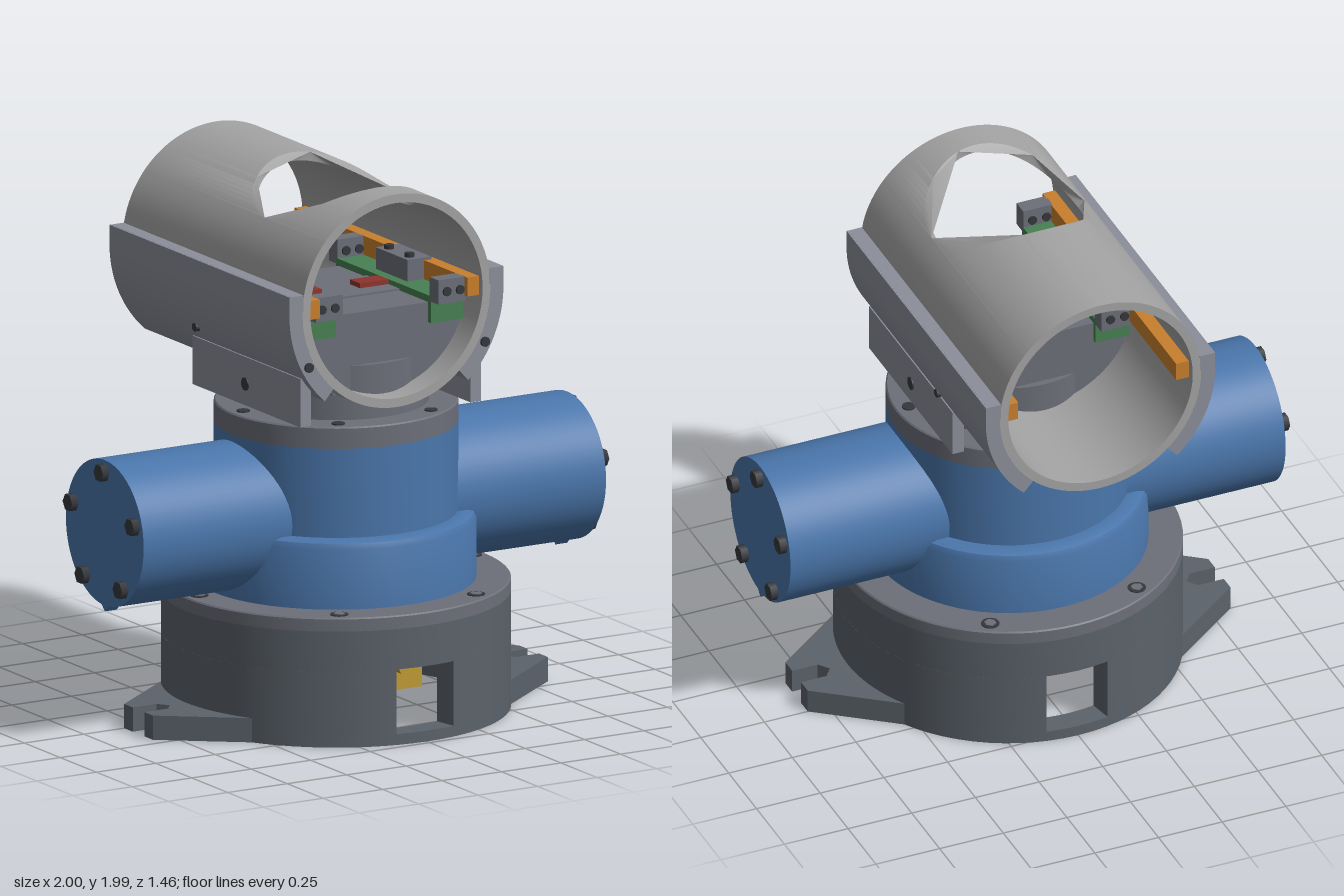
import * as THREE from 'three';
import { toCreasedNormals } from 'three/addons/utils/BufferGeometryUtils.js';

const mat = (color) => new THREE.MeshStandardMaterial({ color, roughness: 0.7, side: THREE.DoubleSide });
const DARK = mat(0x5b626a), PLATE = mat(0x6c6f79), BLUE = mat(0x4a76ab), TUBE = mat(0xa3a3a3), CRADLE = mat(0x8b8f9a),
  BLACK = mat(0x35373b), ORANGE = mat(0xc87f2c), GREEN = mat(0x478052), RED = mat(0x8e342e), GOLD = mat(0xbf9a35);
const RAD = Math.PI / 180;

export function createModel() {
  const model = new THREE.Group();
  // everything is built around the vertical spindle
  const g = new THREE.Group();
  g.name = 'assembly';
  g.position.z = 0.1;
  model.add(g);

  const add = (name, geo, material, x = 0, y = 0, z = 0) => {
    const m = new THREE.Mesh(geo, material);
    m.name = name;
    m.position.set(x, y, z);
    g.add(m);
    return m;
  };
  // box given by its minimum and maximum corners
  const box = (name, material, x0, x1, y0, y1, z0, z1) =>
    add(name, new THREE.BoxGeometry(x1 - x0, y1 - y0, z1 - z0), material, (x0 + x1) / 2, (y0 + y1) / 2, (z0 + z1) / 2);
  const lathe = (name, material, pts) =>
    add(name, toCreasedNormals(new THREE.LatheGeometry(pts.map((p) => new THREE.Vector2(...p)), 72), 0.6), material);
  // rod along an axis; 6 sides make a hex head
  const rod = (name, material, r, len, axis, x, y, z, sides = 24) => {
    const m = add(name, new THREE.CylinderGeometry(r, r, len, sides), material, x, y, z);
    if (axis === 'x') m.rotation.z = Math.PI / 2;
    if (axis === 'z') m.rotation.x = Math.PI / 2;
    return m;
  };
  // part of a ring, extruded along z from 0 to depth
  const sector = (ri, ro, a0, a1, depth) => {
    const s = new THREE.Shape();
    s.absarc(0, 0, ro, a0 * RAD, a1 * RAD, false);
    s.absarc(0, 0, ri, a1 * RAD, a0 * RAD, true);
    s.closePath();
    return new THREE.ExtrudeGeometry(s, { depth, bevelEnabled: false, curveSegments: 40 });
  };
  const smooth = (geo) => toCreasedNormals(geo, 0.5);

  // hollow base: lower rim, two wall halves between the windows, and upper ring
  lathe('baseRim', DARK, [[0.54, 0], [0.63, 0], [0.63, 0.04], [0.54, 0.04], [0.54, 0]]);
  for (const a of [-79, 101])
    add('baseWall', smooth(sector(0.54, 0.63, a, a + 158, 0.24)).rotateX(-Math.PI / 2), DARK, 0, 0.04);
  lathe('baseUpperWall', DARK, [[0.54, 0.28], [0.63, 0.28], [0.63, 0.43], [0.54, 0.43], [0.54, 0.28]]);
  lathe('baseTopPlate', PLATE, [[0.36, 0.43], [0.63, 0.43], [0.63, 0.475], [0.625, 0.48], [0.36, 0.48], [0.36, 0.43]]);
  for (let i = 0; i < 6; i++) {
    const a = (30 + 60 * i) * RAD, x = 0.575 * Math.sin(a), z = 0.575 * Math.cos(a);
    rod('baseScrewRecess', BLACK, 0.033, 0.006, 'y', x, 0.48, z);
    rod('baseScrew', PLATE, 0.022, 0.012, 'y', x, 0.48, z, 6);
  }

  // slotted mounting feet
  const foot = new THREE.Shape([[0.54, 0.32], [0.54, -0.32], [0.83, -0.1], [0.83, -0.04], [0.73, -0.04], [0.70, 0],
    [0.73, 0.04], [0.83, 0.04], [0.83, 0.1]].map((p) => new THREE.Vector2(...p)));
  for (const turn of [0, Math.PI]) {
    const f = add('mountingFoot',
      new THREE.ExtrudeGeometry(foot, { depth: 0.09, bevelEnabled: false }).rotateX(-Math.PI / 2), DARK);
    f.rotation.y = turn;
  }

  // blue housing with rounded shoulder
  lathe('housing', BLUE, [[0, 0.44], [0.505, 0.44], [0.505, 0.70], [0.496, 0.722], [0.475, 0.73], [0.44, 0.73],
    [0.44, 1.06], [0, 1.06]]);
  lathe('housingCap', PLATE, [[0, 1.06], [0.44, 1.06], [0.44, 1.135], [0.435, 1.14], [0, 1.14]]);
  for (let i = 0; i < 6; i++) {
    const a = (30 + 60 * i) * RAD;
    rod('capScrew', BLACK, 0.024, 0.01, 'y', 0.39 * Math.sin(a), 1.14, 0.39 * Math.cos(a));
  }

  for (const s of [-1, 1]) {
    // horizontal arm with bolted end cover
    rod('sideArm', BLUE, 0.27, 0.72, 'x', s * 0.56, 0.765, 0, 64);
    rod('armEndCover', BLUE, 0.27, 0.052, 'x', s * 0.946, 0.765, 0, 64);
    const tab = box('armDripTab', BLUE, 0, 0.05, 0, 0.04, -0.02, 0.02);
    tab.position.set(s * 0.947, 0.502, 0);
    tab.rotation.x = Math.PI / 4;
    for (let i = 0; i < 5; i++) {
      const a = 72 * i * RAD;
      rod('armBolt', BLACK, 0.033, 0.032, 'x', s * 0.984, 0.765 + 0.225 * Math.cos(a), 0.225 * Math.sin(a), 6);
    }

    // cradle shell and the plate holding it to the column
    const shell = s > 0 ? sector(0.395, 0.45, -48, 9, 1.25) : sector(0.395, 0.45, 171, 228, 1.25);
    add('cradleShell', smooth(shell), CRADLE, 0, 1.59, -0.83);
    box('cradleTopLip', CRADLE, s > 0 ? 0.39 : -0.45, s > 0 ? 0.45 : -0.39, 1.6, 1.66, -0.83, 0.42);
    const x = (a, b) => (s > 0 ? [a, b] : [-b, -a]);
    box('cradlePlate', CRADLE, ...x(0.335, 0.38), 1.16, 1.34, -0.37, 0.38);
    rod('plateBolt', BLACK, 0.024, 0.01, 'x', s * 0.38, 1.24, 0);
    rod('cradleScrew', BLACK, 0.016, 0.03, 'x', s * 0.40, 1.39, -0.3, 12);
    rod('cradleEndScrew', BLACK, 0.018, 0.02, 'z', s * 0.37, 1.39, 0.42, 12);

    // rail, its green carrier and clamps inside the tube
    box('rail', ORANGE, ...x(0.31, 0.36), 1.56, 1.63, -0.8, 0.4);
    box('railCarrier', GREEN, ...x(0.2, 0.335), 1.46, 1.56, -0.33, 0.33);
    for (const z of [-0.35, 0.35]) {
      box('railClamp', PLATE, ...x(0.2, 0.315), 1.54, 1.63, z - 0.03, z + 0.03);
      for (const bx of [0.235, 0.29])
        rod('clampBolt', BLACK, 0.017, 0.075, 'z', s * bx, 1.585, z, 12);
    }
    box('railTopClamp', PLATE, ...x(0.24, 0.34), 1.55, 1.64, -0.12, 0.1);
    for (const z of [-0.08, 0.06]) rod('topClampBolt', BLACK, 0.018, 0.02, 'y', s * 0.272, 1.645, z, 12);
    box('jawBlock', RED, ...x(0.08, 0.2), 1.52, 1.56, -0.035, 0.035);
  }

  // column and inner block under the tube
  rod('column', PLATE, 0.335, 0.2, 'y', 0, 1.24, 0, 64);
  const block = new THREE.Shape([[-0.2, 1.24], [0.2, 1.24], [0.33, 1.4], [0.33, 1.535], [-0.33, 1.535], [-0.33, 1.4]]
    .map((p) => new THREE.Vector2(...p)));
  add('innerBlock', new THREE.ExtrudeGeometry(block, { depth: 0.62, bevelEnabled: false }), PLATE, 0, 0, -0.31);
  box('innerBlockRib', PLATE, -0.24, 0.24, 1.5, 1.542, -0.115, 0.11);

  // open tube with a round opening cut down through its top
  const ro = 0.395, ri = 0.362, hole = 0.3, half = Math.asin(hole / ro) / RAD;
  add('tubeLower', smooth(sector(ri, ro, 90 + half, 450 - half, 1.25)), TUBE, 0, 1.59, -0.83);
  for (const s of [-1, 1]) {
    const end = s > 0 ? 0.42 : -0.83;
    const geo = sector(ri, ro, 90 - half, 90 + half, 1);
    const p = geo.attributes.position;
    for (let i = 0; i < p.count; i++) {
      const x = (p.getX(i) * ro) / Math.hypot(p.getX(i), p.getY(i));
      const edge = s * Math.sqrt(Math.max(0, hole * hole - x * x));
      const atEnd = (p.getZ(i) > 0.5) === (s > 0);
      p.setZ(i, atEnd ? end : edge);
    }
    add('tubeUpper', smooth(geo), TUBE, 0, 1.59, 0);
  }

  // spindle, yoke and lock nuts inside the base
  rod('spindle', BLACK, 0.04, 0.4, 'y', 0, 0.25, 0);
  rod('yokeHub', GOLD, 0.16, 0.2, 'y', 0, 0.24, 0, 40);
  rod('hubWasher', PLATE, 0.12, 0.02, 'y', 0, 0.13, 0, 40);
  rod('lockNut', BLACK, 0.065, 0.035, 'y', 0, 0.105, 0, 6);
  rod('lowerLockNut', BLACK, 0.06, 0.03, 'y', 0, 0.07, 0, 6);
  for (const s of [-1, 1]) {
    box('yokeArm', GOLD, -0.055, 0.055, 0.17, 0.28, Math.min(0, s * 0.36), Math.max(0, s * 0.36));
    box('yokeEnd', GOLD, -0.12, 0.12, 0.14, 0.28, s * 0.36 - 0.04, s * 0.36 + 0.04);
    rod('yokeScrewHead', GOLD, 0.04, 0.03, 'z', 0, 0.235, s * 0.41, 6);
    rod('yokeScrew', GOLD, 0.02, 0.09, 'z', 0, 0.235, s * 0.43, 16);
  }
  return model;
}
